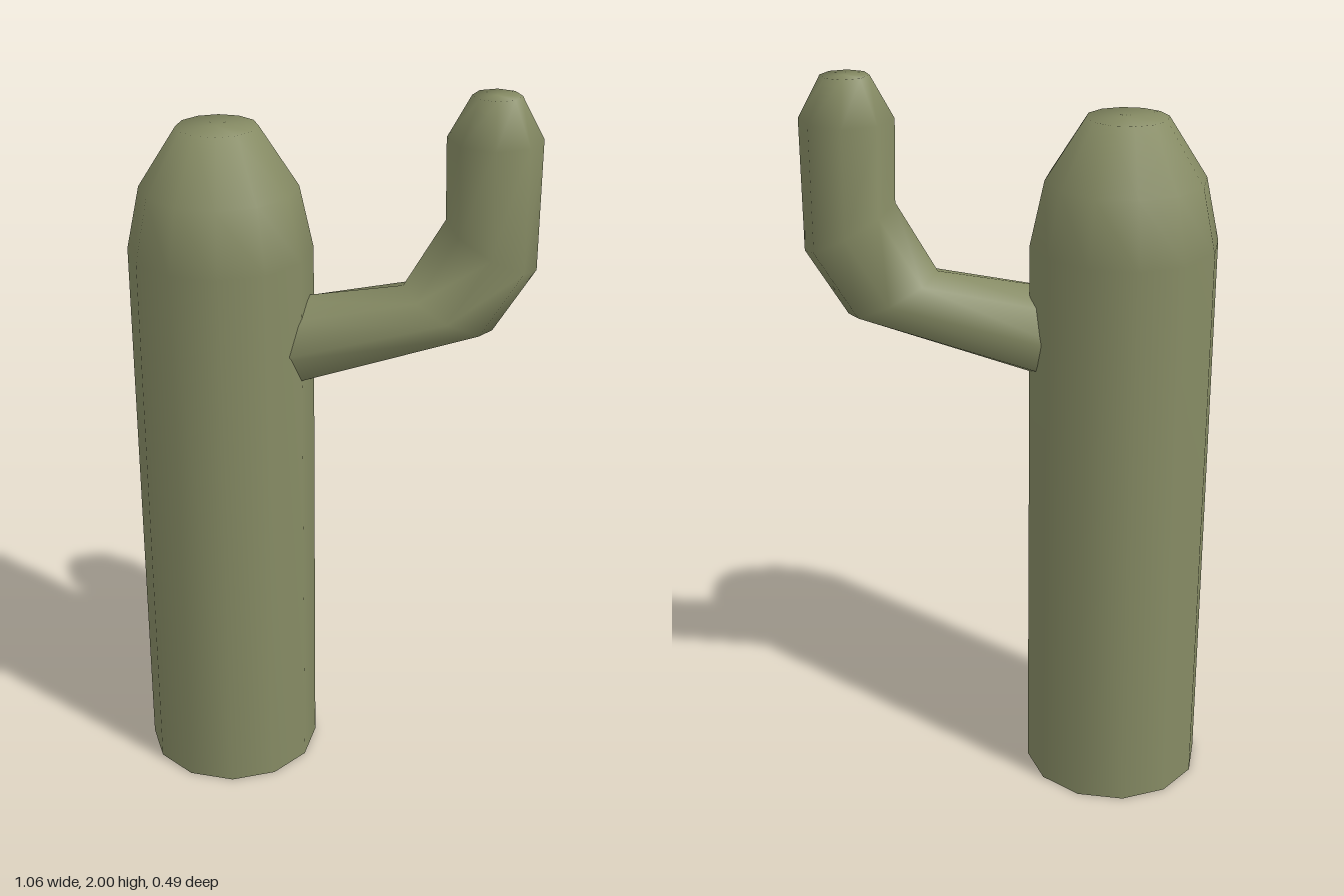
import * as THREE from 'three';

export function createModel() {
  const cactus = new THREE.Group();
  cactus.name = 'cactus';
  const green = new THREE.MeshStandardMaterial({ color: 0x868b64, side: THREE.DoubleSide });
  green.name = 'olive green';

  // Trunk: twelve-sided column, open at the foot, with a blunt domed top
  const profile = [[0.247, 0], [0.247, 1.57], [0.21, 1.74], [0.107, 1.9], [0, 1.9]]
    .map(([r, y]) => new THREE.Vector2(r, y));
  const trunk = new THREE.Mesh(
    new THREE.LatheGeometry(profile, 12, THREE.MathUtils.degToRad(17.5)), green);
  trunk.name = 'trunk';
  trunk.position.x = -0.29;
  cactus.add(trunk);

  // Arm: eight-sided rings in a slanted upright plane, each given by its
  // outer point, inner point (distance along the plane, height) and half width
  const rings = [
    [[0.09, 1.152], [0.09, 1.428], 0.123],
    [[0.73, 1.365], [0.49, 1.485], 0.123],
    [[0.838, 1.54], [0.597, 1.67], 0.123],
    [[0.838, 1.89], [0.592, 1.89], 0.123],
    [[0.778, 2], [0.652, 2], 0.063],
    [[0.715, 2], [0.715, 2], 0], // closes the tip
  ];
  const sides = 8;
  const positions = [];
  const indices = [];
  rings.forEach(([outer, inner, halfWidth], i) => {
    for (let j = 0; j < sides; j++) {
      const t = (j / sides) * Math.PI * 2;
      const c = Math.cos(t);
      const w = Math.sin(t) * halfWidth;
      const s = (outer[0] + inner[0]) / 2 + c * (outer[0] - inner[0]) / 2;
      const y = (outer[1] + inner[1]) / 2 + c * (outer[1] - inner[1]) / 2;
      positions.push(-0.29 + 0.98 * s + 0.2 * w, y, 0.015 - 0.2 * s + 0.98 * w);
      if (i === 0) continue;
      const a = (i - 1) * sides + j;
      const b = (i - 1) * sides + (j + 1) % sides;
      indices.push(a, a + sides, b);
      if (halfWidth > 0) indices.push(b, a + sides, b + sides);
    }
  });
  const armGeometry = new THREE.BufferGeometry();
  armGeometry.setAttribute('position', new THREE.Float32BufferAttribute(positions, 3));
  armGeometry.setIndex(indices);
  armGeometry.computeVertexNormals();
  const arm = new THREE.Mesh(armGeometry, green);
  arm.name = 'arm';
  cactus.add(arm);

  return cactus;
}
